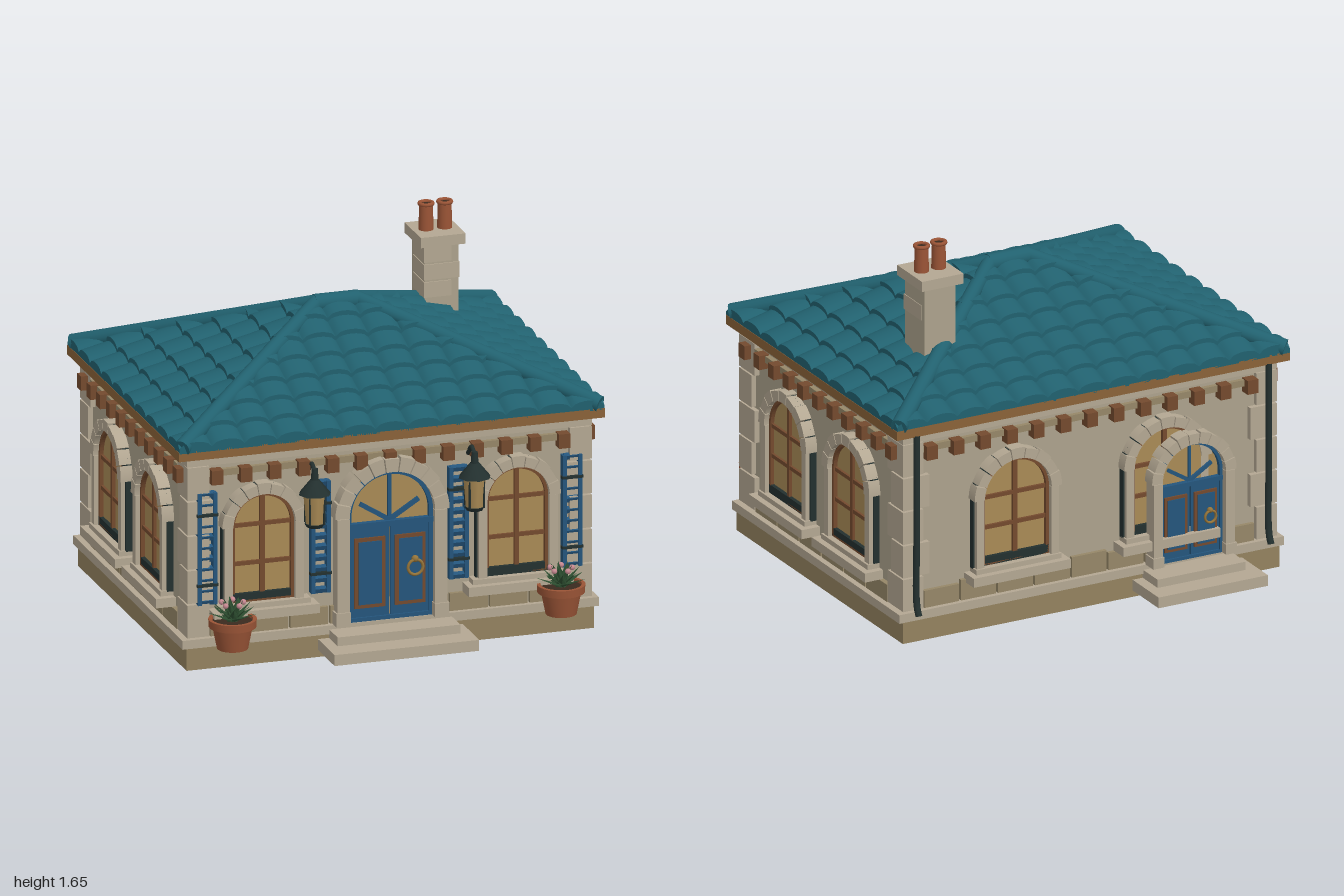
import * as THREE from 'three';
import { toCreasedNormals } from 'three/addons/utils/BufferGeometryUtils.js';

const mat = (color, side = THREE.FrontSide) => new THREE.MeshStandardMaterial({ color, side });
const M = {
  wall: mat(0xaca28c), stone: mat(0xb3a792), block: mat(0x968768), plinth: mat(0x93825f),
  roof: mat(0x21616f, THREE.DoubleSide), hip: mat(0x21616f), wood: mat(0x744a2e), fascia: mat(0x8a6238),
  glass: mat(0xa98a55), blue: mat(0x24557c), iron: mat(0x23302f), brass: mat(0x94743a),
  clay: mat(0x9a5436), soil: mat(0x3a2a1e), leaf: mat(0x2f5132, THREE.DoubleSide), flower: mat(0xc88a92),
};

function add(parent, name, geo, m, x = 0, y = 0, z = 0) {
  const mesh = new THREE.Mesh(geo, m);
  mesh.name = name;
  mesh.position.set(x, y, z);
  parent.add(mesh);
  return mesh;
}
// box given by its limits
const box = (p, name, m, x0, x1, y0, y1, z0, z1) =>
  add(p, name, new THREE.BoxGeometry(x1 - x0, y1 - y0, z1 - z0), m, (x0 + x1) / 2, (y0 + y1) / 2, (z0 + z1) / 2);
const cyl = (p, name, m, rt, rb, y0, y1, x, z, n = 20) =>
  add(p, name, new THREE.CylinderGeometry(rt, rb, y1 - y0, n), m, x, (y0 + y1) / 2, z);
const group = (p, name, x = 0, y = 0, z = 0) => {
  const g = new THREE.Group();
  g.name = name;
  g.position.set(x, y, z);
  p.add(g);
  return g;
};
const extrude = (shape, depth) => new THREE.ExtrudeGeometry(shape, { depth, bevelEnabled: false, curveSegments: 16 });

function archShape(half, y0, spring) {
  const s = new THREE.Shape();
  s.moveTo(-half, y0);
  s.lineTo(half, y0);
  s.lineTo(half, spring);
  s.absarc(0, spring, half, 0, Math.PI, false);
  s.closePath();
  return s;
}
function archFrame(p, name, m, half, y0, spring, t, depth, z) {
  const s = archShape(half, y0, spring);
  s.holes.push(archShape(half - t, y0 + t, spring));
  add(p, name, extrude(s, depth), m, 0, 0, z);
}
// wedge stones around an arch, alternating slightly in depth
function voussoirs(p, r0, r1, spring, n, depth) {
  const step = Math.PI / n, gap = 0.012;
  for (let i = 0; i < n; i++) {
    const a = i * step + gap, b = (i + 1) * step - gap;
    const s = new THREE.Shape();
    s.absarc(0, spring, r1 + (i % 2 ? 0 : 0.006), a, b, false);
    s.absarc(0, spring, r0, b, a, true);
    s.closePath();
    add(p, 'archStone', extrude(s, depth), M.stone);
  }
}

// arched window on a wall facing +z
function windowUnit(parent, x, half, spring) {
  const g = group(parent, 'archedWindow', x), b = 0.28, top = spring + half;
  add(g, 'glass', extrude(archShape(half, b, spring), 0.012), M.glass);
  archFrame(g, 'windowFrame', M.wood, half, b, spring, 0.014, 0.03, 0);
  box(g, 'mullion', M.wood, -0.011, 0.011, b, top, 0, 0.026);
  for (const y of [b + 0.18, spring]) box(g, 'glazingBar', M.wood, -half, half, y - 0.009, y + 0.009, 0, 0.024);
  voussoirs(g, half, half + 0.045, spring, 9, 0.055);
  archFrame(g, 'archShadowTrim', M.iron, half + 0.045, b, spring, 0.044, 0.03, 0);
  for (const s of [-1, 1]) box(g, 'jamb', M.stone, s * (half + 0.019) - 0.019, s * (half + 0.019) + 0.019, b, spring, 0, 0.05);
  box(g, 'sill', M.stone, -0.24, 0.24, 0.22, 0.262, 0, 0.09);
  box(g, 'sillBed', M.stone, -0.21, 0.21, 0.262, 0.285, 0, 0.06);
}

// double door with fanlight and stone portal
function doorUnit(parent, x, k) {
  const g = group(parent, 'door', x, 0.14 * (1 - k), 0);
  g.scale.set(k, k, 1);
  const h = 0.195, sp = 0.625;
  add(g, 'fanlight', extrude(archShape(h, 0.14, sp), 0.014), M.glass);
  archFrame(g, 'doorFrame', M.blue, h, 0.14, sp, 0.018, 0.035, 0);
  box(g, 'transom', M.blue, -h, h, 0.565, 0.59, 0, 0.04);
  for (const s of [-1, 1]) {
    box(g, 'doorLeaf', M.blue, s * 0.099 - 0.095, s * 0.099 + 0.095, 0.14, 0.57, 0, 0.026);
    box(g, 'panelFrame', M.wood, s * 0.092 - 0.07, s * 0.092 + 0.07, 0.2, 0.52, 0, 0.034);
    box(g, 'panel', M.blue, s * 0.092 - 0.053, s * 0.092 + 0.053, 0.217, 0.503, 0, 0.038);
    box(g, 'fanBar', M.blue, -0.08, 0.08, -0.01, 0.01, 0, 0.026).position.set(s * 0.066, 0.632, 0.014);
    g.children.at(-1).rotation.z = s * 0.56;
    box(g, 'portalJamb', M.stone, s * 0.223 - 0.028, s * 0.223 + 0.028, 0.14, sp, 0, 0.065);
    box(g, 'portalFoot', M.stone, s * 0.225 - 0.034, s * 0.225 + 0.034, 0.14, 0.2, 0, 0.072);
  }
  box(g, 'fanPost', M.blue, -0.008, 0.008, 0.58, 0.81, 0, 0.024);
  voussoirs(g, h, 0.255, sp, 11, 0.065);
  add(g, 'knocker', new THREE.TorusGeometry(0.034, 0.007, 8, 20), M.brass, 0.11, 0.37, 0.05);
  add(g, 'knockerBoss', new THREE.SphereGeometry(0.016, 12, 8), M.brass, 0.11, 0.407, 0.045);
}

function shutter(parent, x) {
  const g = group(parent, 'shutter', x);
  for (const s of [-1, 1]) box(g, 'stile', M.blue, s * 0.036 - 0.009, s * 0.036 + 0.009, 0.29, 0.8, 0, 0.035);
  for (let i = 0; i < 11; i++) {
    const y = 0.3 + i * 0.049;
    box(g, 'slat', M.blue, -0.036, 0.036, y - 0.01, y + 0.012, 0.004, 0.026).rotation.x = 0.4;
  }
  for (const y of [0.38, 0.7]) box(g, 'hinge', M.iron, -0.048, 0.048, y - 0.006, y + 0.006, 0.01, 0.04);
}

// wall face with course, beam and brackets; local +z points outward
function facade(parent, name, angle, halfWidth, dist, brackets) {
  const g = group(parent, name);
  g.rotation.y = angle;
  const f = group(g, 'face', 0, 0, dist);
  const n = Math.round(halfWidth * 2 / 0.19), w = halfWidth * 2 / n;
  for (let i = 0; i < n; i++) {
    const x = -halfWidth + i * w;
    box(f, 'courseBlock', M.block, x + 0.005, x + w - 0.005, 0.14, i % 3 === 1 ? 0.235 : 0.22, -0.01, 0.018);
  }
  box(f, 'beam', M.block, -halfWidth, halfWidth, 0.87, 0.9, -0.01, 0.02);
  for (let i = -brackets; i <= brackets; i++)
    box(f, 'bracket', M.wood, i * 0.132 - 0.026, i * 0.132 + 0.026, 0.84, 0.905, 0, 0.05);
  return f;
}

// rows of barrel tiles on one hip slope; lateral half width goes from w0 to w1
function tileSlope(parent, angle, w0, w1, out0, out1, cols) {
  const rows = 7, seg = cols * 8, pos = [], idx = [];
  const cw = 2 * w0 / cols;
  const point = (i, t, lift, bump) => {
    const w = w0 + (w1 - w0) * t, x = THREE.MathUtils.clamp(-w0 + 2 * w0 * i / seg, -w, w);
    const u = Math.abs(Math.sin(Math.PI * (x + w0) / cw));
    pos.push(x, 1.005 + 0.345 * t + lift + bump * Math.sqrt(u), out0 + (out1 - out0) * t);
  };
  for (let r = 0; r < rows; r++) {
    const base = pos.length / 3;
    for (let i = 0; i <= seg; i++) point(i, r / rows, -0.004, r ? 0.02 : 0);
    for (let i = 0; i <= seg; i++) point(i, r / rows, 0.018, 0.027);
    for (let i = 0; i <= seg; i++) point(i, (r + 1) / rows, 0, 0.024);
    for (let k = 0; k < 2; k++) for (let i = 0; i < seg; i++) {
      const a = base + k * (seg + 1) + i, c = a + seg + 1;
      idx.push(a, a + 1, c + 1, a, c + 1, c);
    }
  }
  const geo = new THREE.BufferGeometry();
  geo.setAttribute('position', new THREE.Float32BufferAttribute(pos, 3));
  geo.setIndex(idx);
  add(parent, 'tileSlope', toCreasedNormals(geo, 0.7), M.roof).rotation.y = angle;
}

function lantern(parent, x) {
  const g = group(parent, 'lantern', x, 0, 0.81);
  cyl(g, 'lanternGlass', M.glass, 0.052, 0.04, 0.635, 0.775, 0, 0, 8);
  cyl(g, 'lanternBase', M.iron, 0.046, 0.036, 0.62, 0.637, 0, 0, 8);
  cyl(g, 'lanternRoof', M.iron, 0.02, 0.072, 0.77, 0.835, 0, 0, 8);
  cyl(g, 'lanternFinial', M.iron, 0.014, 0.018, 0.835, 0.885, 0, 0, 8);
  for (let i = 0; i < 4; i++) {
    const a = i * Math.PI / 2 + Math.PI / 4;
    cyl(g, 'lanternBar', M.iron, 0.005, 0.005, 0.635, 0.775, 0.046 * Math.cos(a), 0.046 * Math.sin(a), 6);
  }
  const arm = new THREE.CatmullRomCurve3([[0, 0.87, 0], [0, 0.895, -0.04], [0, 0.85, -0.09]].map(p => new THREE.Vector3(...p)));
  add(g, 'lanternArm', new THREE.TubeGeometry(arm, 12, 0.01, 8), M.iron);
}

function planter(parent, x) {
  const g = group(parent, 'planter', x, 0.115, 0.84);
  const profile = [[0, 0], [0.068, 0], [0.088, 0.1], [0.104, 0.1], [0.106, 0.135], [0.09, 0.135], [0.088, 0.12]];
  add(g, 'pot', toCreasedNormals(new THREE.LatheGeometry(profile.map(p => new THREE.Vector2(...p)), 28), 0.5), M.clay);
  cyl(g, 'soil', M.soil, 0.088, 0.088, 0.11, 0.124, 0, 0);
  for (let i = 0; i < 24; i++) {
    const ring = i % 3, leaf = new THREE.ConeGeometry(0.027, 0.12 - ring * 0.01, 4);
    leaf.scale(1, 1, 0.25).translate(0, 0.06, 0).rotateX(1.2 - ring * 0.37);
    add(g, 'leaf', leaf, M.leaf, 0, 0.125, 0).rotation.y = i * 2.4;
  }
  for (let i = 0; i < 5; i++)
    add(g, 'flower', new THREE.IcosahedronGeometry(0.013, 1), M.flower, 0.05 * Math.cos(i * 1.257), 0.205, 0.05 * Math.sin(i * 1.257));
}

export function createModel() {
  const model = new THREE.Group();
  model.name = 'house';

  // plinth, walls, cornice
  box(model, 'plinth', M.plinth, -0.93, 0.93, 0, 0.105, -0.75, 0.75);
  box(model, 'plinthCap', M.stone, -0.95, 0.95, 0.1, 0.14, -0.755, 0.755);
  box(model, 'walls', M.wall, -0.9, 0.9, 0.13, 0.97, -0.715, 0.715);
  box(model, 'cornice', M.stone, -0.925, 0.925, 0.925, 0.97, -0.74, 0.74);
  box(model, 'eaves', M.fascia, -0.972, 0.972, 0.965, 1.008, -0.772, 0.772);

  // corner stones
  for (const sx of [-1, 1]) for (const sz of [-1, 1]) for (let i = 0; i < 5; i++) {
    const w = i % 2 ? 0.13 : 0.1, d = i % 2 ? 0.11 : 0.14, y = 0.14 + i * 0.157;
    box(model, 'cornerStone', M.stone, sx * (0.923 - w / 2) - w / 2, sx * (0.923 - w / 2) + w / 2, y + 0.004, y + 0.153,
      sz * (0.74 - d / 2) - d / 2, sz * (0.74 - d / 2) + d / 2);
  }

  // four faces
  const front = facade(model, 'frontFace', 0, 0.82, 0.715, 6);
  const back = facade(model, 'backFace', Math.PI, 0.82, 0.715, 6);
  doorUnit(front, 0, 1);
  for (const s of [-1, 1]) {
    windowUnit(front, s * 0.58, 0.142, 0.635);
    for (const x of [0.315, 0.833]) shutter(front, s * x);
    windowUnit(back, s * 0.37, 0.165, 0.6);
    const side = facade(model, 'sideFace', s * Math.PI / 2, 0.6, 0.905, 5);
    for (const x of [-0.285, 0.285]) windowUnit(side, x, 0.165, 0.6);
    lantern(model, s * 0.365);
    planter(model, s * 0.75);
    // downpipe with a bent foot
    const path = [[0.87, 0.97, -0.765], [0.87, 0.5, -0.765], [0.87, 0.18, -0.765], [0.87, 0.13, -0.785]];
    const curve = new THREE.CatmullRomCurve3(path.map(p => new THREE.Vector3(s * p[0], p[1], p[2])));
    add(model, 'downpipe', new THREE.TubeGeometry(curve, 24, 0.015, 10), M.iron);
  }
  const rear = group(back, 'rearEntrance', 0, 0, 0.035);
  doorUnit(rear, 0.475, 0.8);

  // steps
  box(model, 'frontLowerStep', M.stone, -0.33, 0.33, 0.032, 0.082, 0.7, 0.98);
  box(model, 'frontUpperStep', M.stone, -0.28, 0.28, 0.082, 0.122, 0.7, 0.87);
  box(model, 'rearLowerStep', M.stone, -0.745, -0.205, 0.03, 0.08, -0.985, -0.7);
  box(model, 'rearUpperStep', M.stone, -0.69, -0.255, 0.08, 0.118, -0.885, -0.7);

  // hipped roof
  for (const a of [0, Math.PI]) {
    tileSlope(model, a, 0.97, 0.1, 0.772, 0, 13);
    tileSlope(model, a + Math.PI / 2, 0.772, 0, 0.97, 0.1, 10);
  }
  for (const sx of [-1, 1]) for (const sz of [-1, 1]) {
    const a = new THREE.Vector3(sx * 0.955, 1.022, sz * 0.758), b = new THREE.Vector3(sx * 0.09, 1.358, 0);
    const hip = add(model, 'hipRidge', new THREE.CylinderGeometry(0.034, 0.038, a.distanceTo(b), 14), M.hip);
    hip.position.copy(a).lerp(b, 0.5);
    hip.quaternion.setFromUnitVectors(new THREE.Vector3(0, 1, 0), b.clone().sub(a).normalize());
  }
  const ridge = add(model, 'topRidge', new THREE.CylinderGeometry(0.042, 0.042, 0.2, 16), M.hip, 0, 1.352, 0);
  ridge.rotation.z = Math.PI / 2;

  // chimney
  box(model, 'chimney', M.wall, 0.48, 0.635, 1.1, 1.49, -0.405, -0.228);
  for (let i = 0; i < 3; i++) box(model, 'chimneyBlock', M.stone, 0.476, 0.6 + (i % 2) * 0.038, 1.245 + i * 0.08, 1.315 + i * 0.08, -0.38, -0.222);
  box(model, 'chimneyCap', M.stone, 0.455, 0.66, 1.48, 1.527, -0.43, -0.205);
  for (const x of [0.515, 0.6]) {
    cyl(model, 'chimneyPot', M.clay, 0.03, 0.033, 1.52, 1.64, x, -0.315);
    add(model, 'chimneyPotRim', new THREE.TorusGeometry(0.029, 0.009, 8, 20), M.clay, x, 1.645, -0.315).rotation.x = Math.PI / 2;
    cyl(model, 'chimneyFlue', M.soil, 0.024, 0.024, 1.63, 1.643, x, -0.315);
  }
  return model;
}
